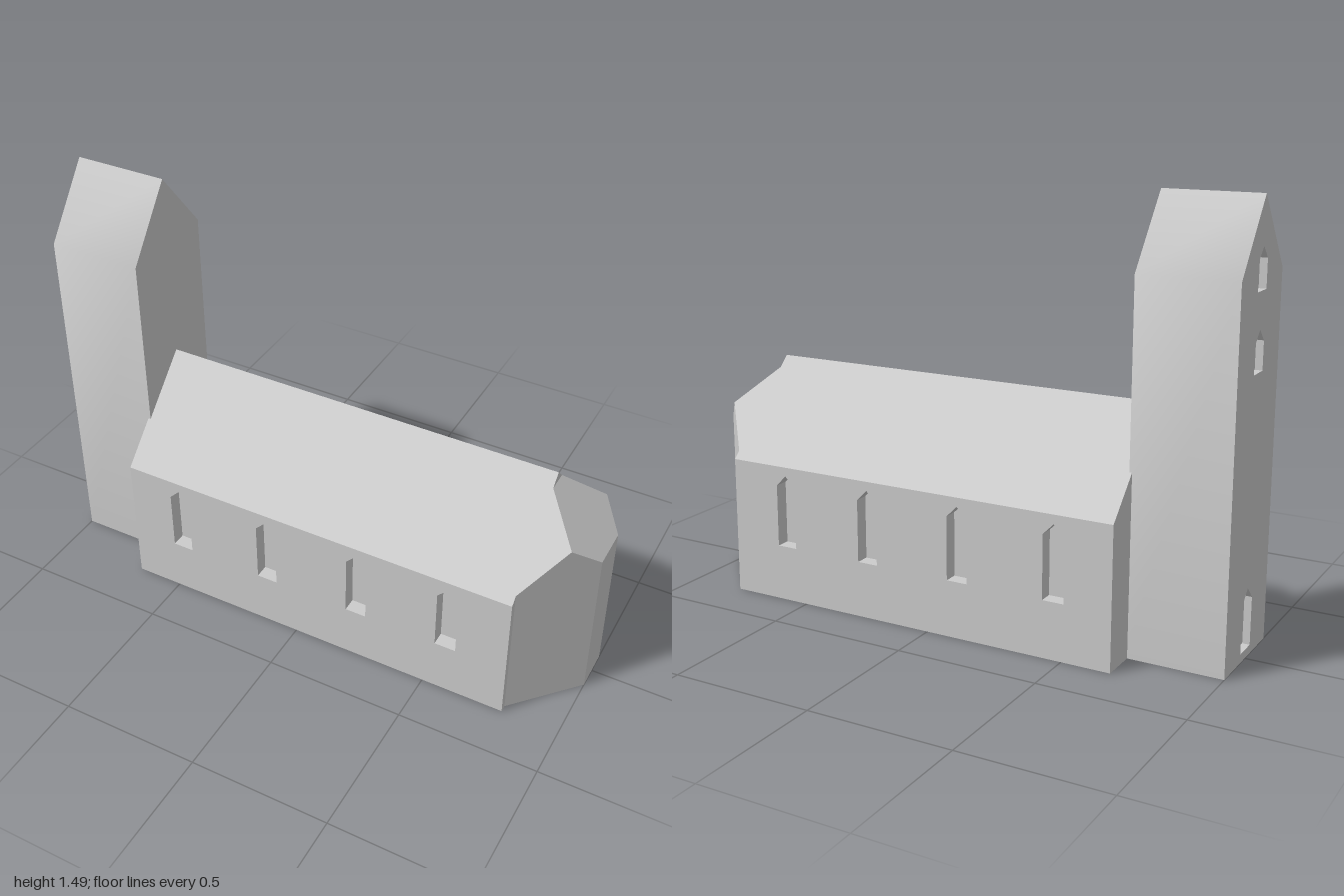
import * as THREE from 'three';
import { toCreasedNormals } from 'three/addons/utils/BufferGeometryUtils.js';

const stone = new THREE.MeshStandardMaterial({ color: 0xcccccc });
stone.name = 'pale stone';

function mesh(name, geometry) {
  const m = new THREE.Mesh(geometry, stone);
  m.name = name;
  return m;
}

// Flat convex polygons, corners counter-clockwise seen from outside
function polygons(list) {
  const pos = [];
  for (const p of list) {
    for (let i = 1; i < p.length - 1; i++) pos.push(...p[0], ...p[i], ...p[i + 1]);
  }
  const g = new THREE.BufferGeometry();
  g.setAttribute('position', new THREE.Float32BufferAttribute(pos, 3));
  g.computeVertexNormals();
  return g;
}

// The same polygon on the other side of z = 0
const mirrorZ = (p) => p.map(([x, y, z]) => [x, y, -z]).reverse();
const bothSides = (list) => list.flatMap((p) => [p, mirrorZ(p)]);

// Outline of a pointed window
const lancet = (x, y, width, shoulder, apex) => [
  [x - width / 2, y], [x + width / 2, y], [x + width / 2, shoulder], [x, apex], [x - width / 2, shoulder],
];

const toShape = (pts) => new THREE.Shape(pts.map(([x, y]) => new THREE.Vector2(x, y)));

// Wall facing +z with windows sunk into it
function windowedWall(name, outline, windows, depth) {
  const group = new THREE.Group();
  group.name = name;
  const shape = toShape(outline);
  shape.holes = windows.map((w) => new THREE.Path(toShape(w).getPoints()));
  group.add(mesh('wallFace', new THREE.ShapeGeometry(shape)));
  for (const w of windows) {
    const faces = [w.map(([x, y]) => [x, y, -depth])];
    w.forEach((a, i) => {
      const b = w[(i + 1) % w.length];
      faces.push([[...a, 0], [...b, 0], [...b, -depth], [...a, -depth]]);
    });
    group.add(mesh('windowRecess', polygons(faces)));
  }
  return group;
}

const gable = (half, eave, ridge) => [[-half, 0], [half, 0], [half, eave], [0, ridge], [-half, eave]];
const floor = (x0, x1, w) => [[x0, 0, -w], [x1, 0, -w], [x1, 0, w], [x0, 0, w]];

function createNave() {
  const x0 = -0.672, x1 = 0.798, half = 0.32, eave = 0.49, ridge = 0.81;
  const nave = new THREE.Group();
  nave.name = 'nave';
  const end = gable(half, eave, ridge);
  nave.add(mesh('naveRoof', polygons(bothSides([
    [[x0, eave, half], [x1, eave, half], [x1, ridge, 0], [x0, ridge, 0]],
  ]))));
  nave.add(mesh('naveEndsAndFloor', polygons([
    end.map(([z, y]) => [x0, y, z]),
    end.map(([z, y]) => [x1, y, z]).reverse(),
    floor(x0, x1, half),
  ])));
  // Long side walls, each with four windows
  for (const s of [1, -1]) {
    const [l, r] = s > 0 ? [x0, x1] : [-x1, -x0];
    const windows = [-0.468, -0.115, 0.238, 0.577].map((x) => lancet(s * x, 0.198, 0.076, 0.42, 0.458));
    const wall = windowedWall(s > 0 ? 'frontWall' : 'backWall', [[l, 0], [r, 0], [r, eave], [l, eave]], windows, 0.05);
    wall.position.z = s * half;
    if (s < 0) wall.rotation.y = Math.PI;
    nave.add(wall);
  }
  return nave;
}

function createApse() {
  const apse = new THREE.Group();
  apse.name = 'apse';
  const x0 = 0.798, x1 = 1, za = 0.295, zb = 0.075;
  const a = [x0, 0, za], aTop = [x0, 0.515, za];
  const b = [x1, 0, zb], bTop = [x1, 0.57, zb];
  const peak = [0.921, 0.649, 0.161], top = [x0, 0.772, 0.038];
  const m = ([x, y, z]) => [x, y, -z];
  apse.add(mesh('apseWalls', polygons([
    ...bothSides([[a, b, bTop, peak, aTop]]),
    [b, m(b), m(bTop), bTop],
    [m(a), m(b), b, a],
  ])));
  apse.add(mesh('apseRoof', polygons([
    ...bothSides([[aTop, peak, top]]),
    [bTop, m(bTop), m(peak), m(top), top, peak],
  ])));
  return apse;
}

function createTower() {
  const x0 = -1, x1 = -0.663, half = 0.188, eave = 1.245, ridge = 1.488;
  const tower = new THREE.Group();
  tower.name = 'tower';
  const end = gable(half, eave, ridge);
  // Side walls shade softly into the roof slopes
  tower.add(mesh('towerSidesAndRoof', toCreasedNormals(polygons(bothSides([
    [[x0, 0, half], [x1, 0, half], [x1, eave, half], [x0, eave, half]],
    [[x0, eave, half], [x1, eave, half], [x1, ridge, 0], [x0, ridge, 0]],
  ])), 0.75)));
  tower.add(mesh('towerInnerGableAndFloor', polygons([
    end.map(([z, y]) => [x1, y, z]).reverse(),
    floor(x0, x1, half),
  ])));
  // Outer gable with a door and two windows
  const openings = [
    lancet(0, 0.03, 0.09, 0.195, 0.24),
    lancet(0, 0.94, 0.08, 1.035, 1.075),
    lancet(0, 1.195, 0.08, 1.29, 1.33),
  ];
  const west = windowedWall('towerOuterGable', end, openings, 0.025);
  west.position.x = x0;
  west.rotation.y = -Math.PI / 2;
  tower.add(west);
  return tower;
}

export function createModel() {
  const church = new THREE.Group();
  church.name = 'church';
  church.add(createNave(), createApse(), createTower());
  return church;
}
